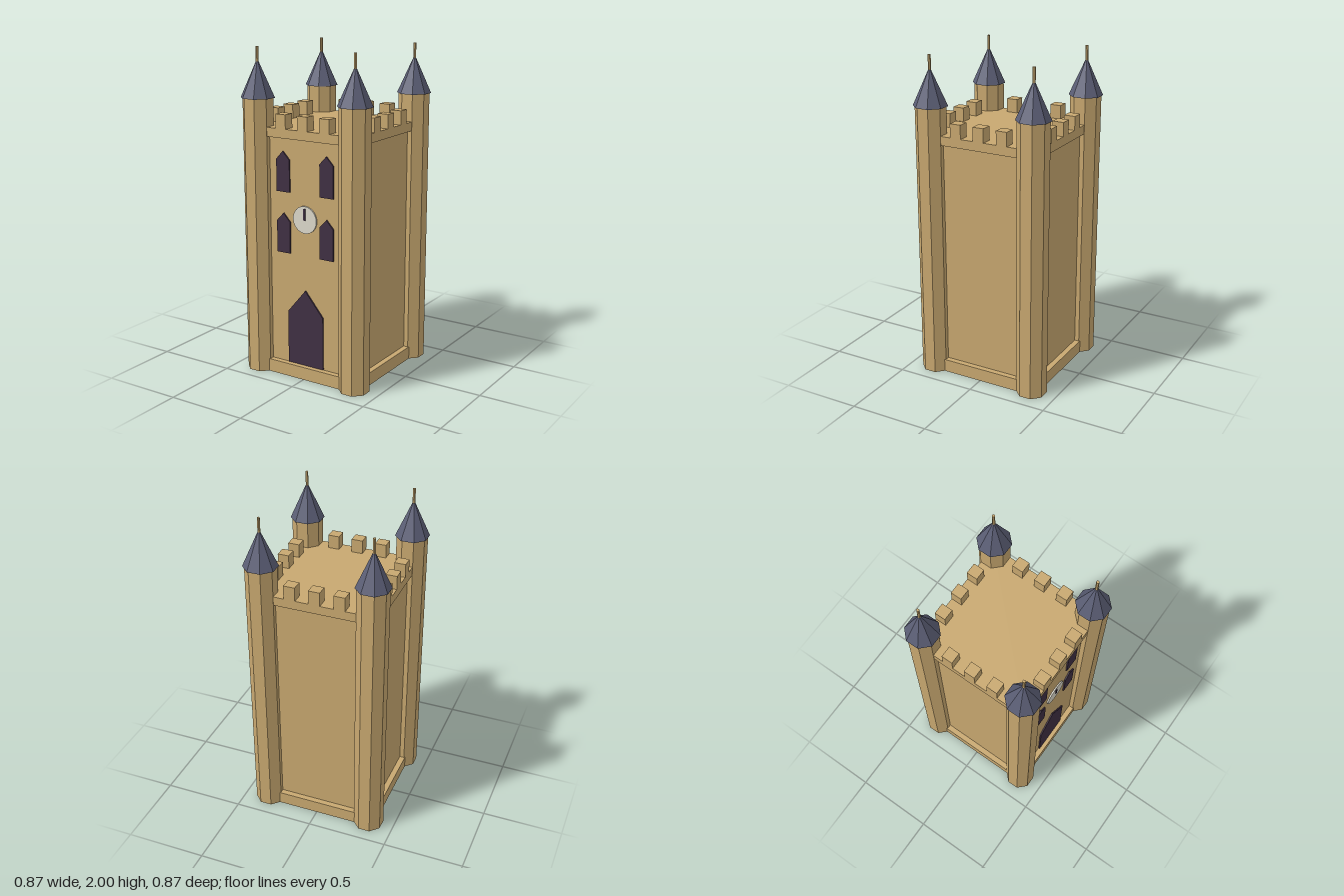
import * as THREE from 'three';

const mat = (name, color) => {
  const m = new THREE.MeshStandardMaterial({ color, flatShading: true });
  m.name = name;
  return m;
};

export function createModel() {
  const stone = mat('sandstone', 0xc8a870);
  const slate = mat('slate', 0x5b5e75);
  const dark = mat('darkOpening', 0x403043);
  const dial = mat('clockWhite', 0xdcd8cb);

  const model = new THREE.Group();
  model.name = 'clockTower';

  const add = (name, geometry, material, x, y, z, parent = model) => {
    const mesh = new THREE.Mesh(geometry, material);
    mesh.name = name;
    mesh.position.set(x, y, z);
    parent.add(mesh);
    return mesh;
  };
  // Box given by its bottom and top heights
  const slab = (name, half, y0, y1) =>
    add(name, new THREE.BoxGeometry(half * 2, y1 - y0, half * 2), stone, 0, (y0 + y1) / 2, 0);

  // Main body
  const wall = 0.345;
  slab('plinth', 0.38, 0, 0.08);
  slab('towerWalls', wall, 0.08, 1.48);
  slab('parapet', 0.373, 1.48, 1.535);

  // Three battlements on each side
  for (let side = 0; side < 4; side++) {
    const row = new THREE.Group();
    row.name = 'battlements';
    row.rotation.y = side * Math.PI / 2;
    for (const x of [-0.152, 0, 0.152]) {
      add('merlon', new THREE.BoxGeometry(0.07, 0.085, 0.07), stone, x, 1.5775, 0.338, row);
    }
    model.add(row);
  }

  // Octagonal corner turrets with pointed roofs and finials
  const prism = (top, bottom, height, sides) =>
    new THREE.CylinderGeometry(top, bottom, height, sides).rotateY(Math.PI / 8);
  for (const x of [-0.338, 0.338]) {
    for (const z of [-0.338, 0.338]) {
      const turret = new THREE.Group();
      turret.name = 'turret';
      turret.position.set(x, 0, z);
      add('turretShaft', prism(0.094, 0.094, 1.7, 8), stone, 0, 0.85, 0, turret);
      const roof = new THREE.ConeGeometry(0.104, 0.23, 8).rotateY(Math.PI / 8);
      add('turretRoof', roof, slate, 0, 1.815, 0, turret);
      add('finial', prism(0.009, 0.009, 0.09, 6), stone, 0, 1.955, 0, turret);
      model.add(turret);
    }
  }

  // Pointed openings as thin plates on the front wall
  const opening = (name, x, y, halfWidth, shoulder, height) => {
    const shape = new THREE.Shape([
      [-halfWidth, 0], [halfWidth, 0], [halfWidth, shoulder], [0, height], [-halfWidth, shoulder],
    ].map(([px, py]) => new THREE.Vector2(px, py)));
    add(name, new THREE.ExtrudeGeometry(shape, { depth: 0.009, bevelEnabled: false }), dark, x, y, wall);
  };
  opening('door', 0, 0.083, 0.126, 0.33, 0.48);
  for (const x of [-0.153, 0.153]) {
    for (const y of [0.78, 1.155]) opening('window', x, y, 0.047, 0.195, 0.245);
  }

  // Clock
  const face = new THREE.CylinderGeometry(0.083, 0.083, 0.009, 24).rotateX(Math.PI / 2);
  add('clockFace', face, dial, 0, 1.003, wall + 0.0045);
  add('clockHand', new THREE.BoxGeometry(0.012, 0.07, 0.005), dark, 0, 1.036, wall + 0.0115);

  return model;
}
